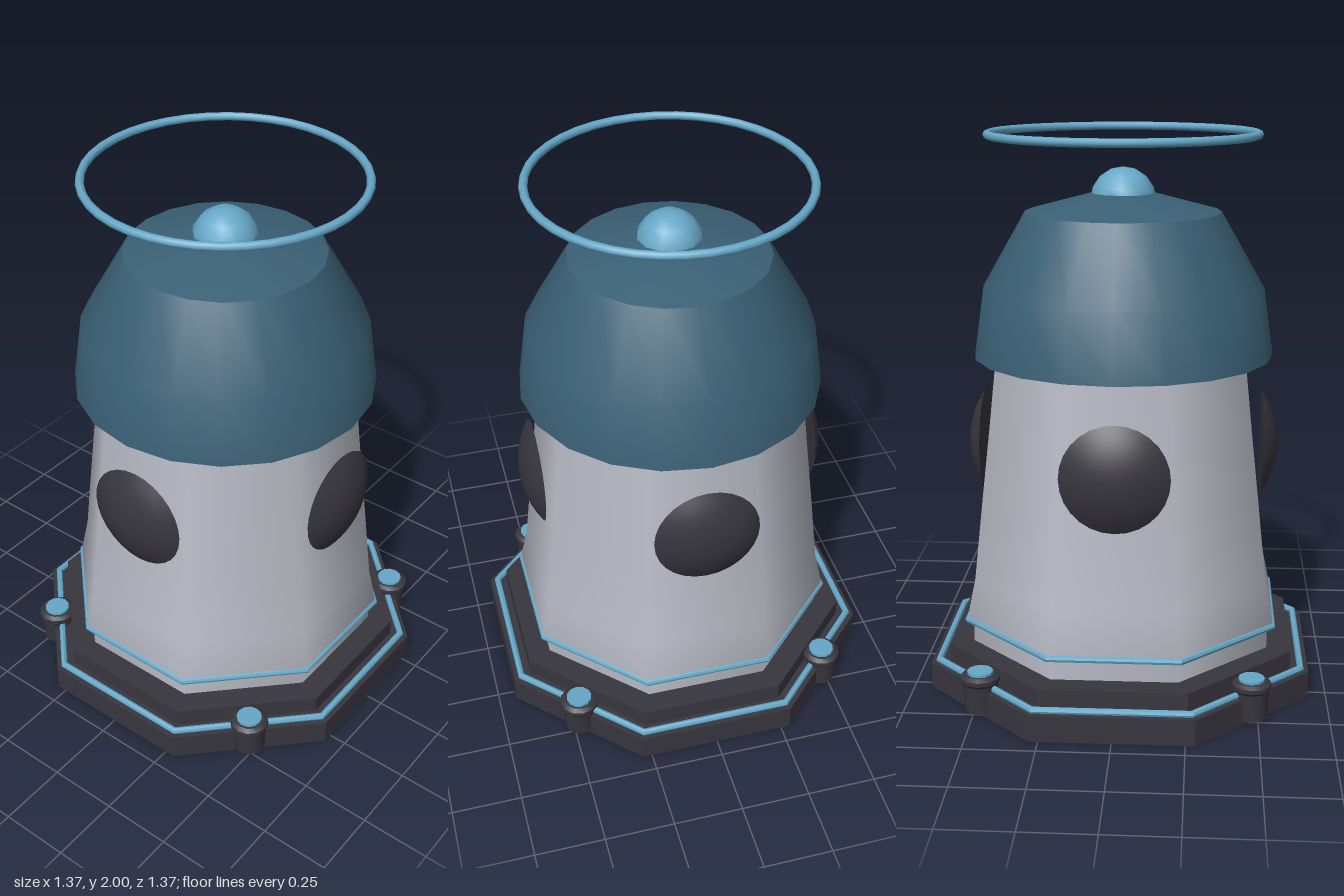
import * as THREE from 'three';
import { toCreasedNormals } from 'three/addons/utils/BufferGeometryUtils.js';

const mat = (name, color) => {
  const m = new THREE.MeshStandardMaterial({ color });
  m.name = name;
  return m;
};

export function createModel() {
  const model = new THREE.Group();
  const shell = mat('pale grey', 0xb9bcc6);
  const dark = mat('charcoal', 0x38363e);
  const navy = mat('deep blue', 0x3a6075);
  const trim = mat('light blue', 0x66a8c8);
  const OCT = 1 / Math.cos(Math.PI / 8); // apothem to corner radius

  const add = (name, geometry, material, x = 0, y = 0, z = 0, parent = model) => {
    const mesh = new THREE.Mesh(geometry, material);
    mesh.name = name;
    mesh.position.set(x, y, z);
    parent.add(mesh);
    return mesh;
  };
  // Surface of revolution; eight sides put the flats on the x and z axes
  const lathe = (profile, sides, crease) => {
    const scale = sides === 8 ? OCT : 1;
    const points = profile.map(([r, y]) => new THREE.Vector2(r * scale, y));
    const g = new THREE.LatheGeometry(points, sides, sides === 8 ? Math.PI / 8 : 0);
    return crease ? toCreasedNormals(g, crease) : g;
  };
  const slab = (r, y0, y1) => lathe([[0, y0], [r, y0], [r, y1], [0, y1]], 8, 0.5);
  const octRing = (r, tube) => toCreasedNormals(
    new THREE.TorusGeometry(r * OCT, tube, 8, 8).rotateZ(Math.PI / 8).rotateX(Math.PI / 2), 0.7);

  // Stepped octagonal base with trim
  add('baseSlab', slab(0.685, 0, 0.095), dark);
  add('baseStep', slab(0.62, 0.09, 0.16), dark);
  add('baseTrim', octRing(0.657, 0.013), trim, 0, 0.103, 0);

  // Corner posts with coloured tops
  for (const sx of [-1, 1]) for (const sz of [-1, 1]) {
    const post = new THREE.Group();
    post.name = 'cornerPost';
    post.position.set(sx * 0.475, 0, sz * 0.475);
    model.add(post);
    add('postBody', lathe([[0, 0.015], [0.057, 0.015], [0.062, 0.115], [0.07, 0.125],
      [0.07, 0.14], [0.055, 0.15], [0, 0.15]], 12, 0.6), dark, 0, 0, 0, post);
    add('postTop', new THREE.CylinderGeometry(0.046, 0.046, 0.015, 12), trim, 0, 0.151, 0, post);
  }

  // Tapered octagonal body
  add('bodyCollar', lathe([[0.535, 0.1], [0.535, 0.24]], 8), shell);
  add('body', lathe([[0.53, 0.235], [0.557, 0.25], [0.527, 0.4], [0.495, 0.7],
    [0.465, 0.97], [0.44, 1.21], [0.43, 1.3]], 8), shell);
  add('bodyTrim', octRing(0.553, 0.013), trim, 0, 0.246, 0);

  // Bulging round windows on the four sides
  const bulge = [[0, 0], [0.19, 0]];
  const R = 0.33;
  for (let i = 1; i <= 6; i++) {
    const a = 0.612 * (1 - i / 6);
    bulge.push([R * Math.sin(a), R * Math.cos(a) - R + 0.06]);
  }
  const windowGeo = lathe(bulge, 28, 0.5).rotateX(Math.PI / 2);
  for (let i = 0; i < 4; i++) {
    const a = i * Math.PI / 2;
    add('window', windowGeo, dark, 0.505 * Math.sin(a), 0.875, 0.505 * Math.cos(a)).rotation.y = a;
  }

  // Roof, knob and floating ring
  add('roof', lathe([[0, 1.205], [0.54, 1.205], [0.505, 1.445], [0.35, 1.715],
    [0.11, 1.78], [0, 1.78]], 20, 0.55), navy);
  add('knob', new THREE.SphereGeometry(0.117, 12, 8), trim, 0, 1.755, 0);
  add('floatingRing', new THREE.TorusGeometry(0.475, 0.015, 8, 40).rotateX(Math.PI / 2),
    trim, 0, 1.985, 0);

  return model;
}
